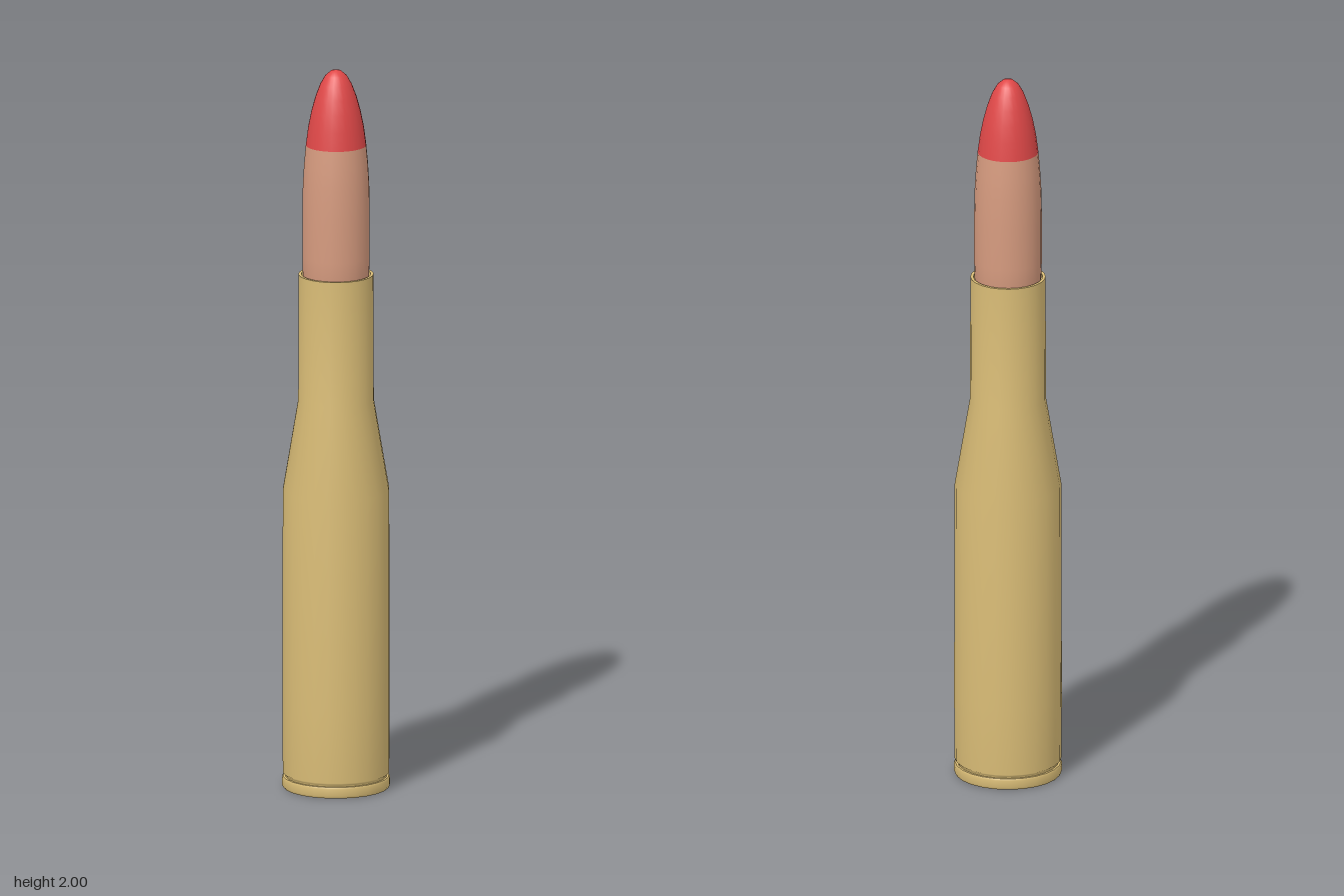
import * as THREE from 'three';

const SIDES = 24;

export function createModel() {
  const group = new THREE.Group();
  group.name = 'cartridge';

  const material = (name, color) => {
    const m = new THREE.MeshStandardMaterial({ color });
    m.name = name;
    return m;
  };
  const brass = material('brass', 0xd9bc76);
  const copper = material('copper', 0xd69b7f);
  const red = material('red', 0xe04848);

  // Turned part from [radius, height] points, listed so that the outside faces out
  const turned = (name, mat, points) => {
    const profile = points.map(([r, y]) => new THREE.Vector2(r, y));
    const mesh = new THREE.Mesh(new THREE.LatheGeometry(profile, SIDES), mat);
    mesh.name = name;
    group.add(mesh);
  };

  // Base and rim
  turned('caseBase', brass, [[0, 0], [0.143, 0]]);
  turned('rim', brass, [[0.143, 0], [0.147, 0.007], [0.147, 0.026], [0.144, 0.031]]);
  turned('rimTop', brass, [[0.144, 0.031], [0.138, 0.031]]);

  // Extractor groove, body, shoulder and neck, smoothly joined
  turned('caseBody', brass, [
    [0.138, 0.031], [0.138, 0.036], [0.145, 0.042],
    [0.146, 0.23], [0.145, 0.83], [0.103, 1.08], [0.102, 1.43],
  ]);

  // Case mouth: flat lip and inner wall
  turned('mouthLip', brass, [[0.102, 1.43], [0.094, 1.43]]);
  turned('mouthInside', brass, [[0.094, 1.43], [0.094, 1.38], [0.07, 1.38]]);

  // Bullet jacket, tapered at its seat
  turned('bulletJacket', copper, [
    [0.08, 1.37], [0.09, 1.42], [0.092, 1.48], [0.092, 1.6],
    [0.0905, 1.68], [0.087, 1.74], [0.0825, 1.79],
  ]);

  // Painted rounded tip
  turned('bulletTip', red, [
    [0.0825, 1.79], [0.076, 1.84], [0.067, 1.885], [0.056, 1.925],
    [0.043, 1.96], [0.029, 1.984], [0.014, 1.997], [0, 2],
  ]);

  return group;
}
